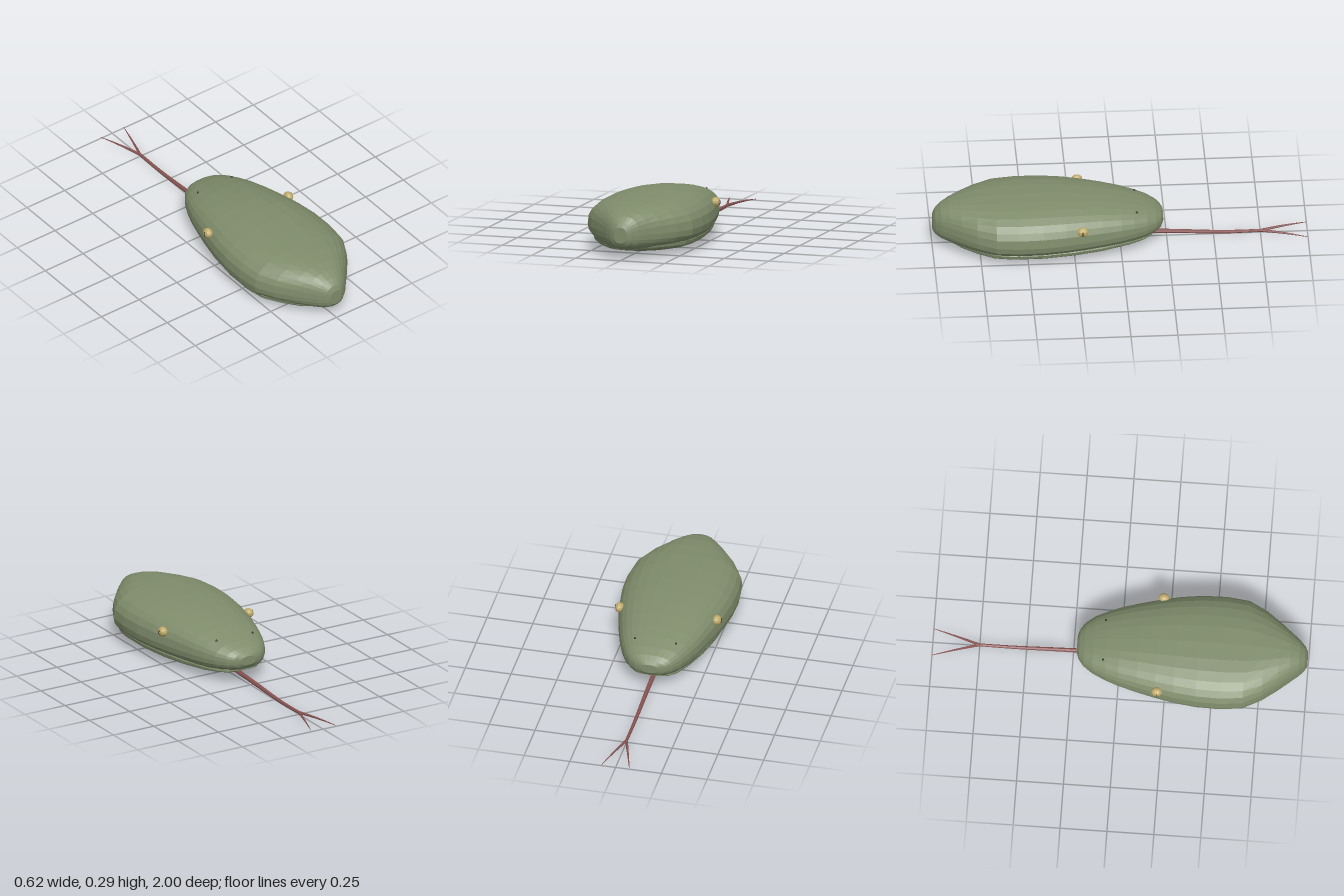
import * as THREE from 'three';

const mat = (name, color, flatShading = true) => {
  const m = new THREE.MeshStandardMaterial({ color });
  m.name = name;
  m.flatShading = flatShading;
  return m;
};

// Closed skin through a list of rings, each an array of Vector3, ordered anticlockwise about the path
function skin(rings) {
  const n = rings[0].length, pos = [], idx = [];
  const push = (p) => pos.push(p.x, p.y, p.z);
  rings.forEach((r) => r.forEach(push));
  for (let i = 0; i < rings.length - 1; i++) {
    for (let j = 0; j < n; j++) {
      const k = (j + 1) % n, a = i * n + j, b = i * n + k;
      idx.push(a, b, a + n, b, b + n, a + n);
    }
  }
  [0, rings.length - 1].forEach((i) => {
    const c = pos.length / 3;
    const mid = new THREE.Vector3();
    rings[i].forEach((p) => mid.addScaledVector(p, 1 / n));
    push(mid);
    for (let j = 0; j < n; j++) {
      const a = i * n + j, b = i * n + (j + 1) % n;
      if (i === 0) idx.push(c, b, a); else idx.push(c, a, b);
    }
  });
  const g = new THREE.BufferGeometry();
  g.setAttribute('position', new THREE.Float32BufferAttribute(pos, 3));
  g.setIndex(idx);
  g.computeVertexNormals();
  return g;
}

// Rounded-box cross-sections along z; each row is [z, half width, top, bottom]
function loft(rows, mid, sides = 28, power = 2.5) {
  const soft = (v) => Math.sign(v) * Math.pow(Math.abs(v), 2 / power);
  return skin(rows.map(([z, w, top, bottom]) => Array.from({ length: sides }, (_, j) => {
    const a = (j / sides) * Math.PI * 2, s = soft(Math.sin(a));
    return new THREE.Vector3(w * soft(Math.cos(a)), mid + s * (s > 0 ? top - mid : mid - bottom), z);
  })));
}

// Strand that tapers from r0 to r1 along points running towards -z
function strand(points, r0, r1, steps = 8, sides = 8) {
  const curve = new THREE.CatmullRomCurve3(points.map((p) => new THREE.Vector3(...p)));
  return skin(Array.from({ length: steps + 1 }, (_, i) => {
    const t = i / steps, c = curve.getPoint(t), r = r0 + (r1 - r0) * t;
    return Array.from({ length: sides }, (_, j) => {
      const a = (-j / sides) * Math.PI * 2;
      return new THREE.Vector3(c.x + r * Math.cos(a), c.y + r * Math.sin(a), c.z);
    });
  }));
}

export function createModel() {
  const root = new THREE.Group();
  root.name = 'serpentHead';
  const green = mat('scaleGreen', 0x7f8c6b);
  const amber = mat('eyeAmber', 0xc0ab6c);
  const dark = mat('pupilDark', 0x24221a);
  const red = mat('tongueRed', 0x875351);

  const add = (name, geometry, material, parent = root) => {
    const m = new THREE.Mesh(geometry, material);
    m.name = name;
    parent.add(m);
    return m;
  };

  // Skull, snout towards -z
  add('skull', loft([
    [-0.23, 0.045, 0.16, 0.11],
    [-0.217, 0.085, 0.178, 0.092],
    [-0.19, 0.12, 0.197, 0.076],
    [-0.14, 0.157, 0.218, 0.06],
    [-0.07, 0.19, 0.238, 0.047],
    [0.0, 0.216, 0.255, 0.04],
    [0.1, 0.245, 0.272, 0.034],
    [0.2, 0.27, 0.284, 0.03],
    [0.3, 0.291, 0.292, 0.028],
    [0.42, 0.307, 0.296, 0.026],
    [0.55, 0.31, 0.294, 0.026],
    [0.67, 0.296, 0.289, 0.028],
    [0.77, 0.243, 0.281, 0.033],
    [0.85, 0.182, 0.27, 0.039],
    [0.91, 0.131, 0.255, 0.047],
    [0.955, 0.093, 0.235, 0.058],
    [0.985, 0.06, 0.208, 0.075],
    [0.998, 0.035, 0.18, 0.095],
  ], 0.135), green);

  // Lower jaw, slightly inset beneath the skull
  add('lowerJaw', loft([
    [-0.185, 0.05, 0.09, 0.068],
    [-0.165, 0.095, 0.09, 0.058],
    [-0.12, 0.135, 0.09, 0.048],
    [-0.04, 0.172, 0.09, 0.036],
    [0.1, 0.22, 0.09, 0.026],
    [0.25, 0.254, 0.09, 0.02],
    [0.42, 0.276, 0.09, 0.017],
    [0.58, 0.276, 0.09, 0.017],
    [0.68, 0.258, 0.09, 0.019],
    [0.77, 0.205, 0.09, 0.024],
    [0.85, 0.145, 0.09, 0.033],
    [0.91, 0.08, 0.09, 0.046],
  ], 0.07, 28, 2.8), green);

  // Eyes with slit pupils, and nostrils
  for (const [side, s] of [['left', 1], ['right', -1]]) {
    const eye = new THREE.Group();
    eye.name = side + 'Eye';
    eye.position.set(s * 0.266, 0.205, 0.212);
    root.add(eye);
    add(side + 'Eyeball', new THREE.SphereGeometry(1, 10, 8), amber, eye).scale.set(0.025, 0.026, 0.031);
    const pupil = add(side + 'Pupil', new THREE.SphereGeometry(1, 8, 8), dark, eye);
    pupil.scale.set(0.004, 0.015, 0.0025);
    pupil.position.x = s * 0.0225;

    const nostril = add(side + 'Nostril', new THREE.SphereGeometry(0.006, 8, 6), dark);
    nostril.position.set(s * 0.112, 0.222, -0.085);
  }

  // Forked tongue
  const tongue = new THREE.Group();
  tongue.name = 'tongue';
  root.add(tongue);
  add('tongueStem', strand([[0, 0.055, 0.1], [0, 0.037, -0.12], [0, 0.024, -0.35], [0, 0.012, -0.56], [0, 0.014, -0.77]],
    0.014, 0.008, 10), red, tongue);
  for (const [side, s] of [['left', 1], ['right', -1]]) {
    add(side + 'TongueTip', strand([[0, 0.014, -0.75], [s * 0.03, 0.016, -0.85], [s * 0.054, 0.014, -0.93], [s * 0.075, 0.01, -1]],
      0.008, 0.0015, 6, 6), red, tongue);
  }
  return root;
}
